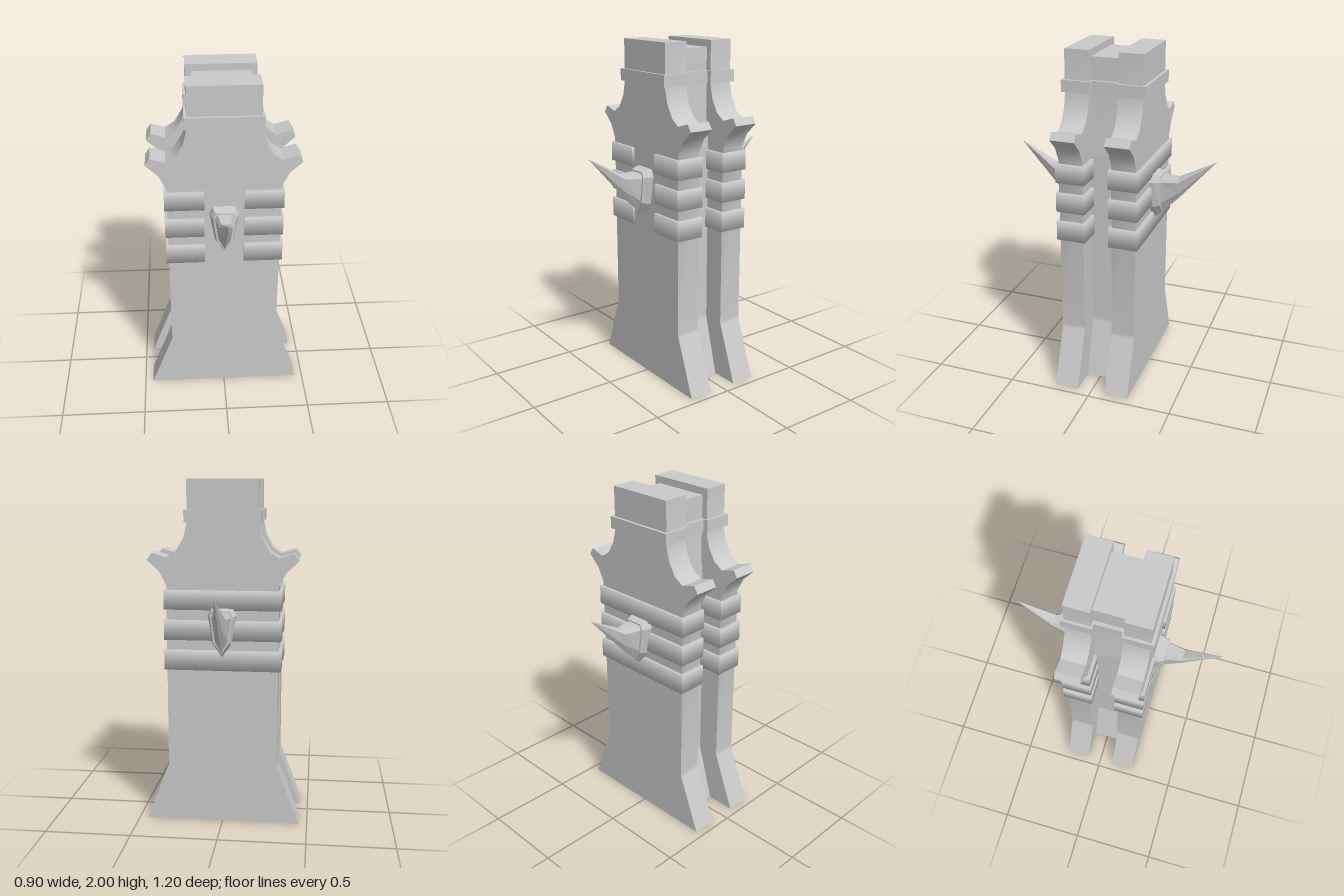
import * as THREE from 'three';
import { toCreasedNormals } from 'three/addons/utils/BufferGeometryUtils.js';

const stone = new THREE.MeshStandardMaterial({ color: 0xcacaca });
stone.name = 'grey stone';

// Mirrored outline extruded along z from z0 to z1
function slab(half, z0, z1) {
  const outline = [...half, ...half.map(([x, y]) => [-x, y]).reverse()];
  const shape = new THREE.Shape(outline.map(([x, y]) => new THREE.Vector2(x, y)));
  const g = new THREE.ExtrudeGeometry(shape, { depth: z1 - z0, bevelEnabled: false });
  return toCreasedNormals(g.translate(0, 0, z0), 0.6);
}

// Box given by its limits; soft tilts the side normals for a rounded look
function block(x0, x1, y0, y1, z0, z1, soft = 0) {
  const g = new THREE.BoxGeometry(x1 - x0, y1 - y0, z1 - z0);
  const p = g.attributes.position, n = g.attributes.normal, v = new THREE.Vector3();
  for (let i = 0; i < p.count; i++) {
    v.fromBufferAttribute(n, i);
    if (Math.abs(v.y) < 0.5) {
      v.y = Math.sign(p.getY(i)) * soft;
      v.normalize();
      n.setXYZ(i, v.x, v.y, v.z);
    }
  }
  return g.translate((x0 + x1) / 2, (y0 + y1) / 2, (z0 + z1) / 2);
}

// Shield-shaped boss lofted into a spike; each section is three half-width
// points, a lowest point and a depth
function spikeGeometry() {
  const sections = [
    { z: 0.22, side: [[0.065, 1.285], [0.085, 1.24], [0.055, 1.08]], low: 0.995 },
    { z: 0.25, side: [[0.062, 1.28], [0.08, 1.24], [0.053, 1.08]], low: 1.003 },
    { z: 0.285, side: [[0.05, 1.272], [0.065, 1.24], [0.045, 1.09]], low: 1.028 },
    { z: 0.286, side: [[0.042, 1.262], [0.055, 1.235], [0.035, 1.1]], low: 1.035 },
    { z: 0.385, side: [[0.025, 1.262], [0.037, 1.24], [0.022, 1.17]], low: 1.135 },
    { z: 0.6, side: [[0, 1.38], [0, 1.38], [0, 1.38]], low: 1.38 },
  ];
  const rings = sections.map(({ z, side, low }) => [
    ...side.map(([x, y]) => [-x, y, z]),
    [0, low, z],
    ...side.map(([x, y]) => [x, y, z]).reverse(),
  ]);
  const pos = [];
  for (let r = 0; r < rings.length - 1; r++) {
    const a = rings[r], b = rings[r + 1];
    for (let i = 0; i < a.length; i++) {
      const j = (i + 1) % a.length;
      pos.push(...a[i], ...a[j], ...b[j], ...a[i], ...b[j], ...b[i]);
    }
  }
  const g = new THREE.BufferGeometry();
  g.setAttribute('position', new THREE.Float32BufferAttribute(pos, 3));
  g.computeVertexNormals();
  return g;
}

export function createModel() {
  const model = new THREE.Group();
  model.name = 'pillar';
  const add = (name, geometry) => {
    const mesh = new THREE.Mesh(geometry, stone);
    mesh.name = name;
    model.add(mesh);
    return mesh;
  };

  // Outer slabs with flared feet and horned shoulders; the extra points by
  // the foot keep its bend crisp
  const outline = [
    [0.452, 0], [0.324, 0.334], [0.32, 0.345], [0.32, 0.36], [0.32, 1.405], [0.36, 1.485],
    [0.43, 1.55], [0.403, 1.59], [0.32, 1.565], [0.265, 1.6], [0.22, 1.675], [0.2, 1.76], [0.2, 2],
  ];
  add('frontSlab', slab(outline, 0.085, 0.227));
  add('backSlab', slab(outline, -0.227, -0.085));

  // Narrower core between the slabs
  const coreOutline = [
    [0.28, 0], [0.188, 0.334], [0.185, 0.345], [0.185, 0.36], [0.185, 1.4], [0.185, 1.415],
    [0.165, 1.6], [0.165, 1.96],
  ];
  add('core', slab(coreOutline, -0.085, 0.085));

  // Neck collar
  add('frontCollar', block(-0.215, 0.215, 1.762, 1.83, 0.075, 0.245));
  add('backCollar', block(-0.215, 0.215, 1.762, 1.83, -0.245, -0.075));
  add('middleCollar', block(-0.185, 0.185, 1.762, 1.83, -0.075, 0.075));

  // Three wraps: split around the front boss, continuous across the back
  for (const [y0, y1] of [[0.92, 1.037], [1.095, 1.21], [1.27, 1.382]]) {
    add('frontLeftBand', block(0.112, 0.335, y0, y1, 0.07, 0.242, 0.7));
    add('frontRightBand', block(-0.335, -0.112, y0, y1, 0.07, 0.242, 0.7));
    add('backBand', block(-0.335, 0.335, y0, y1, -0.242, -0.07, 0.7));
  }

  // Spiked bosses
  add('frontSpike', spikeGeometry());
  add('backSpike', spikeGeometry()).rotation.y = Math.PI;

  return model;
}
